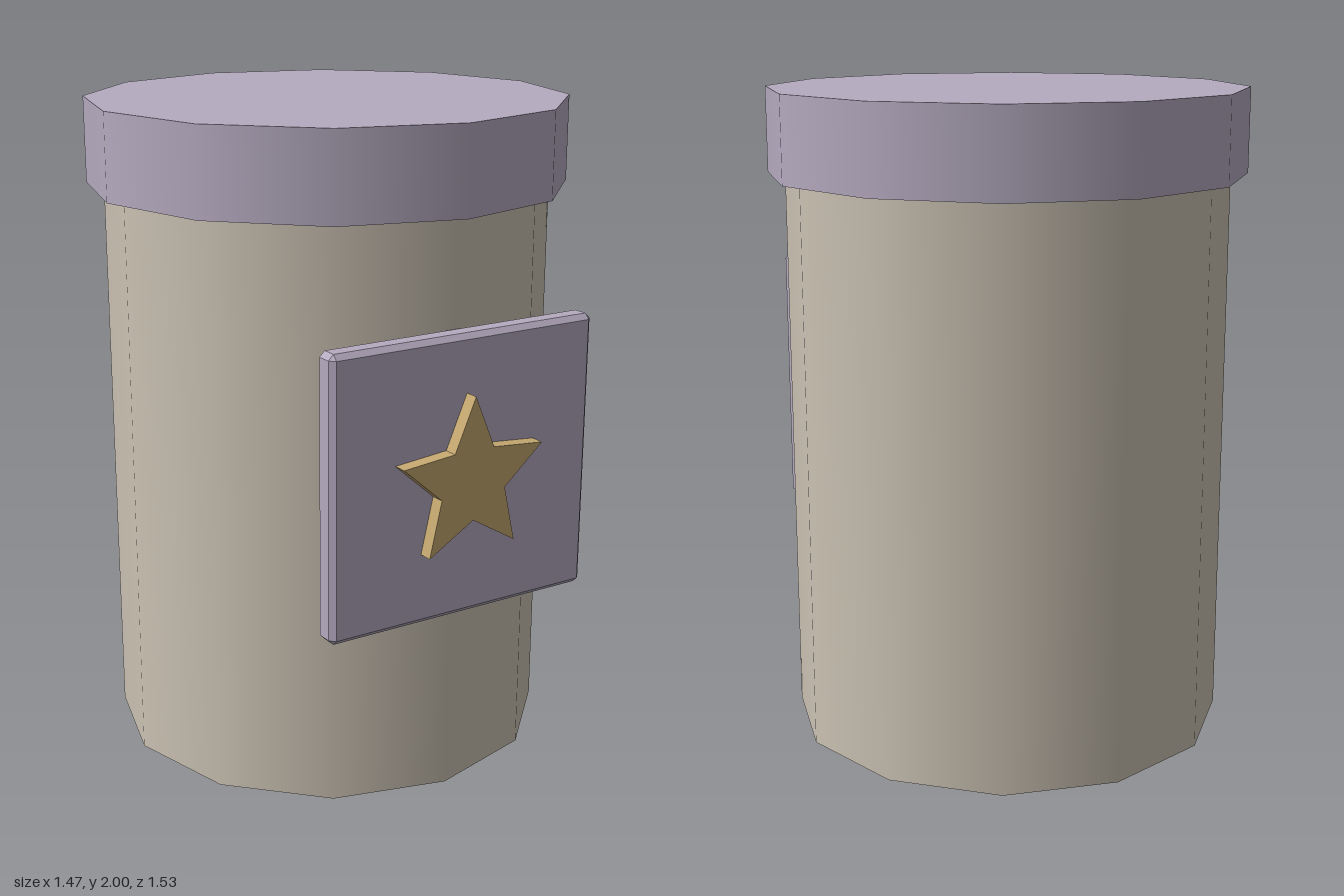
import * as THREE from 'three';
import { ConvexGeometry } from 'three/addons/geometries/ConvexGeometry.js';

const paint = (name, color) => {
  const m = new THREE.MeshStandardMaterial({ color });
  m.name = name;
  return m;
};

// Box with every edge cut at 45 degrees
function chamferedBox(w, h, d, c) {
  const points = [];
  for (const sx of [-1, 1]) for (const sy of [-1, 1]) for (const sz of [-1, 1]) {
    const x = w / 2, y = h / 2, z = d / 2;
    points.push(
      new THREE.Vector3(sx * x, sy * (y - c), sz * (z - c)),
      new THREE.Vector3(sx * (x - c), sy * y, sz * (z - c)),
      new THREE.Vector3(sx * (x - c), sy * (y - c), sz * z));
  }
  return new ConvexGeometry(points);
}

function starShape(outer, inner) {
  const points = [];
  for (let i = 0; i < 10; i++) {
    const r = i % 2 ? inner : outer;
    const a = Math.PI / 2 + i * Math.PI / 5;
    points.push(new THREE.Vector2(r * Math.cos(a), r * Math.sin(a)));
  }
  return new THREE.Shape(points);
}

export function createModel() {
  const group = new THREE.Group();
  const clay = paint('warm beige', 0xcbc2b3);
  const lilac = paint('dusty lilac', 0xb5abc0);
  const gold = paint('muted gold', 0xc6a971);

  const add = (name, geometry, material, y, z) => {
    const mesh = new THREE.Mesh(geometry, material);
    mesh.name = name;
    mesh.position.set(0, y, z);
    group.add(mesh);
  };

  // Twelve-sided jar and its overhanging lid
  add('jarBody', new THREE.CylinderGeometry(0.682, 0.682, 1.76, 12), clay, 0.88, -0.027);
  add('lid', new THREE.CylinderGeometry(0.735, 0.735, 0.26, 12), lilac, 1.87, -0.027);

  // Label plate with a raised star on the front
  add('labelPlate', chamferedBox(0.89, 0.84, 0.077, 0.016), lilac, 1.002, 0.6815);
  add('star', new THREE.ExtrudeGeometry(starShape(0.251, 0.115), { depth: 0.05, bevelEnabled: false }),
    gold, 1.001, 0.713);

  return group;
}
